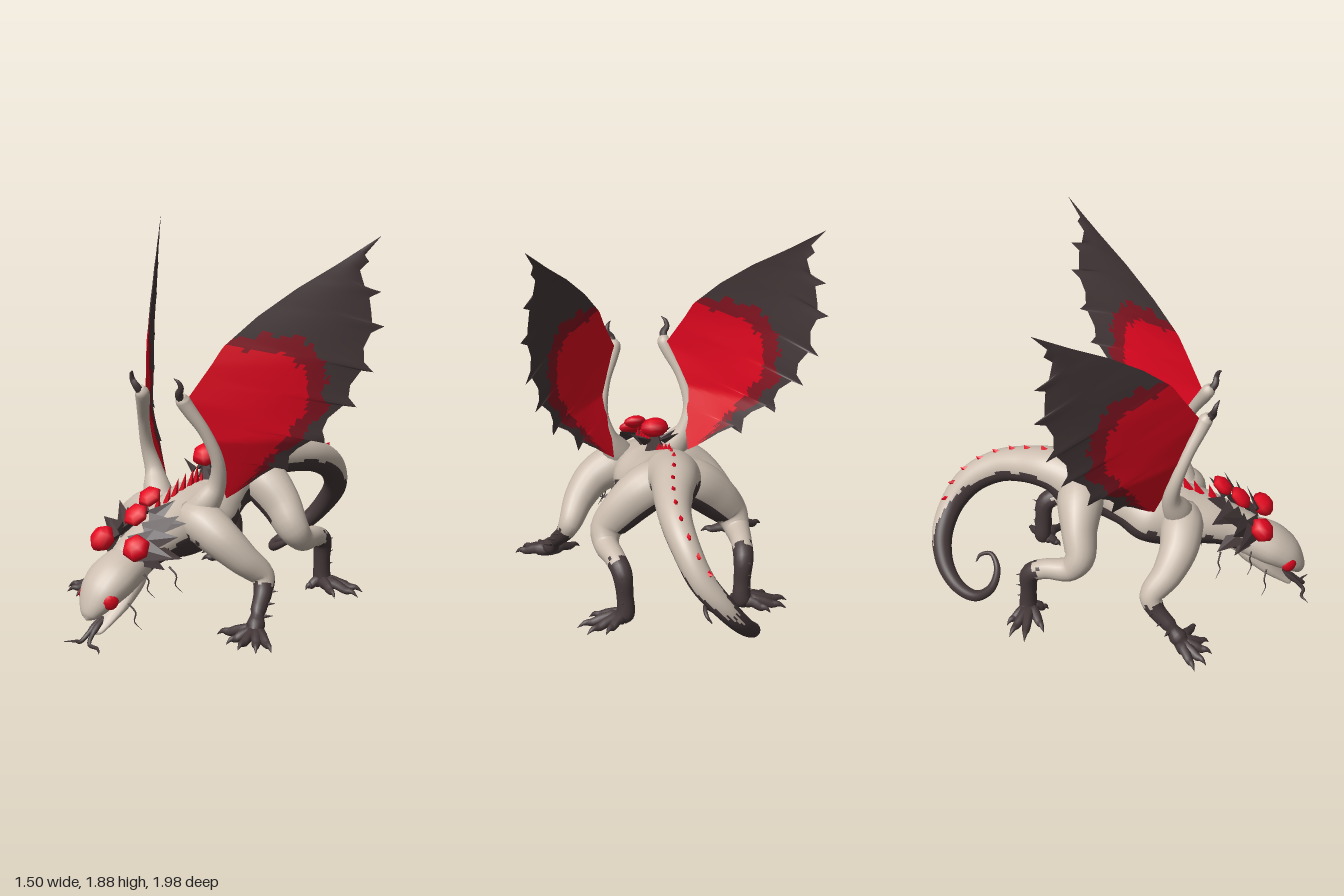
import * as THREE from 'three';
import { mergeGeometries } from 'three/addons/utils/BufferGeometryUtils.js';

const V = (x, y, z) => new THREE.Vector3(x, y, z);

export function createModel() {
  const model = new THREE.Group();
  model.name = 'wingedDragon';
  const mat = (name, color, side = THREE.FrontSide) => {
    const m = new THREE.MeshStandardMaterial({ color, side });
    m.name = name;
    return m;
  };
  const cream = mat('creamHide', 0xcbbdaf);
  const dark = mat('darkHide', 0x46393a, THREE.DoubleSide);
  const red = mat('redGem', 0xe2061f, THREE.DoubleSide);
  const crimson = mat('crimsonMembrane', 0x861522, THREE.DoubleSide);
  const noise = (i, j) => { const s = Math.sin(i * 127.1 + j * 311.7) * 43758.5; return s - Math.floor(s); };

  function add(name, geo, material) {
    const m = new THREE.Mesh(geo, material);
    m.name = name;
    model.add(m);
  }
  // Reflects a geometry across x and restores its winding
  function mirror(geo) {
    const g = geo.index ? geo.toNonIndexed() : geo.clone();
    for (const key of ['position', 'normal']) {
      const a = g.attributes[key].array;
      for (let i = 0; i < a.length; i += 3) a[i] *= -1;
      for (let i = 0; i < a.length; i += 9)
        for (let k = 0; k < 3; k++) [a[i + 3 + k], a[i + 6 + k]] = [a[i + 6 + k], a[i + 3 + k]];
    }
    return g;
  }
  function addPair(name, geo, material) {
    add('left' + name, geo, material);
    add('right' + name, mirror(geo), material);
  }
  // Indexed smooth geometry with one material group per index list
  function surface(pos, sets) {
    const g = new THREE.BufferGeometry();
    g.setAttribute('position', new THREE.Float32BufferAttribute(pos, 3));
    g.setIndex(sets.flat());
    let start = 0;
    sets.forEach((s, m) => { g.addGroup(start, s.length, m); start += s.length; });
    g.computeVertexNormals();
    return g;
  }

  // Smooth skin over stations [x, y, z, halfWidth, halfHeight]; isDark(u, sin, i, j) picks material 1
  function loft(stations, rings = 20, seg = 12, isDark = () => false) {
    const path = new THREE.CatmullRomCurve3(stations.map(s => V(s[0], s[1], s[2])));
    const size = new THREE.CatmullRomCurve3(stations.map(s => V(s[3], s[4] ?? s[3], 0)));
    const pos = [], sets = [[], []];
    const up = V(0, 1, 0);
    for (let i = 0; i <= rings; i++) {
      const t = i / rings, p = path.getPoint(t), d = path.getTangent(t), r = size.getPoint(t);
      up.addScaledVector(d, -up.dot(d)).normalize();
      const side = V(0, 0, 0).crossVectors(up, d);
      for (let j = 0; j < seg; j++) {
        const a = (j / seg) * Math.PI * 2;
        const q = p.clone().addScaledVector(side, Math.cos(a) * Math.max(r.x, 0.001))
          .addScaledVector(up, Math.sin(a) * Math.max(r.y, 0.001));
        pos.push(q.x, q.y, q.z);
        if (i === rings) continue;
        const k = (j + 1) % seg, A = i * seg + j, B = i * seg + k, C = A + seg, D = B + seg;
        const u = ((i + 0.5) / rings) * (stations.length - 1);
        sets[isDark(u, Math.sin(((j + 0.5) / seg) * Math.PI * 2), i, j) ? 1 : 0].push(A, B, C, B, D, C);
      }
    }
    // End caps
    const last = rings * seg, endSet = sets[isDark(stations.length - 1, 0, 0, 0) ? 1 : 0];
    for (let j = 1; j < seg - 1; j++) {
      sets[0].push(0, j + 1, j);
      endSet.push(last, last + j, last + j + 1);
    }
    return surface(pos, sets);
  }
  // Flattened cone from base to tip
  function spike(base, tip, r, flatX = 1, flatZ = 1) {
    const b = V(...base), d = V(...tip).sub(b), len = d.length();
    const g = new THREE.ConeGeometry(r, len, 5).toNonIndexed();
    g.deleteAttribute('uv');
    g.translate(0, len / 2, 0).scale(flatX, 1, flatZ);
    g.applyQuaternion(new THREE.Quaternion().setFromUnitVectors(V(0, 1, 0), d.normalize()));
    g.translate(b.x, b.y, b.z);
    g.computeVertexNormals();
    return g;
  }
  // Rounded stone with a six-sided outline
  const gem = (x, y, z, r, flat, tilt, turn = 0) => new THREE.SphereGeometry(r, 6, 6)
    .scale(1, flat, 1).rotateX(tilt).rotateZ(turn).translate(x, y, z);

  // Neck, trunk and curled tail
  const spine = [
    [0, .3, .74, .06, .06], [0, .36, .66, .105, .1], [0, .41, .56, .12, .105], [0, .45, .44, .15, .13],
    [0, .47, .3, .175, .165], [0, .5, .15, .205, .165], [0, .55, .03, .16, .135], [0, .6, -.1, .12, .14],
    [0, .64, -.22, .145, .15], [.02, .69, -.34, .12, .115], [.07, .68, -.5, .095, .095],
    [.1, .64, -.65, .078, .085], [.09, .55, -.8, .068, .075], [.04, .42, -.9, .062], [-.06, .29, -.94, .054],
    [-.16, .17, -.91, .044], [-.235, .09, -.83, .035], [-.255, .055, -.74, .029], [-.2, .065, -.67, .023],
    [-.1, .12, -.65, .017], [-.04, .17, -.69, .012], [-.03, .15, -.75, .009], [-.05, .12, -.77, .003],
  ];
  add('bodyAndTail', loft(spine, 132, 36, (u, s, i, j) => {
    if (u < 1.3) return false;
    const edge = -.08 + Math.max(0, u - 12) * .45;
    return s < edge + (noise(i >> 1, j) - .5) * .22;
  }), [cream, dark]);

  // Head, jaw, eyes and forked tongue
  add('head', loft([
    [0, .37, .58, .09, .09], [0, .345, .68, .117, .1], [0, .31, .77, .13, .1], [0, .258, .85, .114, .085],
    [0, .2, .905, .078, .055], [0, .162, .935, .042, .03], [0, .147, .948, .004],
  ], 24, 20), cream);
  add('lowerJaw', loft([
    [0, .35, .58, .06, .05], [0, .27, .67, .095, .058], [0, .185, .76, .09, .04], [0, .115, .835, .06, .022],
    [0, .07, .885, .034, .013], [0, .06, .893, .004],
  ], 18, 14), cream);
  const eye = new THREE.SphereGeometry(.041, 12, 8);
  eye.scale(.55, 1, 1).rotateY(-.55).translate(.088, .24, .875);
  addPair('Eye', eye, red);
  addPair('TongueFork', loft([[.005, .14, .82, .012], [.012, .075, .92, .012], [.03, .035, .96, .01],
    [.07, .025, .95, .008], [.12, .02, .985, .001]], 16, 6), dark);

  // Collar of dark leaves around the gems
  const leaves = [];
  for (const [bx, by, bz, tx, ty, tz, r] of [
    [.08, .45, .68, .24, .42, .61, .07], [.09, .48, .64, .25, .52, .58, .07], [.07, .5, .61, .2, .6, .52, .07],
    [.08, .41, .66, .17, .34, .59, .06], [.05, .53, .57, .2, .55, .47, .07], [.04, .56, .53, .1, .64, .44, .055],
    [.1, .42, .6, .2, .38, .5, .06], [.06, .47, .7, .15, .55, .64, .05],
    [.04, .71, .1, .11, .77, .04, .028], [.05, .7, .14, .12, .75, .14, .025],
  ]) leaves.push(spike([bx, by, bz], [tx, ty, tz], r, 1, .25));
  addPair('CollarLeaves', mergeGeometries(leaves), dark);
  addPair('BrowGem', gem(.113, .47, .725, .069, .75, .8, -.3), red);
  add('neckGem', gem(0, .585, .61, .066, .5, .75), red);
  add('napeGem', gem(0, .655, .515, .062, .5, .65), red);
  add('shoulderGem', gem(0, .785, .11, .073, .7, .5), red);
  add('shoulderGemMount', spike([0, .62, .09], [0, .8, .11], .07), dark);

  // Row of red ridge spikes along the back and tail
  const ridge = [];
  const spinePath = new THREE.CatmullRomCurve3(spine.map(s => V(s[0], s[1], s[2])));
  for (let u = 3; u < 13.2; u += u < 6 ? .42 : .5) {
    const k = Math.floor(u), f = u - k, t = u / (spine.length - 1);
    const p = spinePath.getPoint(t), d = spinePath.getTangent(t);
    const n = V(0, 1, 0).addScaledVector(d, -d.y).normalize();
    const h = spine[k][4] * (1 - f) + (spine[k + 1][4] ?? spine[k + 1][3]) * f;
    const tall = u < 5.5 ? .085 : u < 8 ? .045 : .03;
    const base = p.clone().addScaledVector(n, h - .012);
    const tip = base.clone().addScaledVector(n, tall).addScaledVector(d, tall * .5);
    ridge.push(spike(base.toArray(), tip.toArray(), u < 6 ? .028 : .025, u < 6 ? .5 : .65, 1));
  }
  add('backRidge', mergeGeometries(ridge), red);

  // Legs: cream above, dark below with a ragged border, and dark on the inside near the belly
  const leg = (name, stations, start, inner) => addPair(name, loft(stations, 44, 18, (u, s, i, j) => {
    const n = noise(i >> 1, j) - .5;
    return u > start + n * .4 || (u < inner + n && s < -.35 + n * .2);
  }), [cream, dark]);
  leg('FrontLeg', [[.06, .53, .33, .08], [.17, .51, .32, .108], [.28, .45, .31, .098], [.37, .36, .26, .08],
    [.435, .265, .185, .06], [.46, .2, .21, .046], [.49, .13, .28, .038], [.52, .06, .34, .038],
    [.54, .03, .38, .028]], 4.6, 1.2);
  leg('HindLeg', [[.04, .64, -.2, .12, .11], [.13, .595, -.2, .118, .12], [.24, .5, -.195, .092, .11],
    [.325, .395, -.185, .077, .085], [.34, .335, -.235, .064], [.325, .315, -.36, .052], [.31, .27, -.44, .05],
    [.3, .15, -.455, .042], [.3, .06, -.46, .046], [.32, .025, -.46, .03]], 5.4, 2.6);

  // Spread toes ending in claws
  const foot = (name, [px, pz], tips) => addPair(name, mergeGeometries(tips.map(([tx, tz]) => loft([
    [px, .04, pz, .026], [px + (tx - px) * .4, .045, pz + (tz - pz) * .4, .026],
    [px + (tx - px) * .68, .028, pz + (tz - pz) * .68, .021],
    [px + (tx - px) * .84, .03, pz + (tz - pz) * .84, .013], [tx, .008, tz, .001],
  ], 12, 7))), dark);
  foot('FrontToes', [.52, .33], [[.69, .42], [.64, .475], [.55, .5], [.46, .48], [.34, .41]]);
  foot('HindToes', [.3, -.45], [[.54, -.45], [.51, -.53], [.42, -.555], [.46, -.36], [.27, -.36]]);
  const thorns = [];
  for (let i = 0; i < 3; i++) {
    const f = i / 3;
    thorns.push(spike([.48 + .06 * f, .2 - .14 * f, .2 + .12 * f], [.53 + .06 * f, .21 - .14 * f, .18 + .12 * f], .012));
    thorns.push(spike([.31, .26 - .2 * f, -.46], [.33, .27 - .2 * f, -.515], .012));
  }
  addPair('LegThorns', mergeGeometries(thorns), dark);

  // Thin hanging whiskers
  const hairs = [[.1, .34, .68], [.13, .33, .52], [.09, .2, .76]].map(([x, y, z]) => loft([
    [x, y, z, .005], [x + .04, y - .04, z - .01, .004], [x + .04, y - .08, z, .003], [x + .07, y - .12, z - .02, .001],
  ], 10, 5));
  addPair('Whiskers', mergeGeometries(hairs), dark);

  // Wing membrane: bowed sheet between front and scalloped rear edge, outlines in (z, y)
  const outline = pts => new THREE.Path(pts.map(p => new THREE.Vector2(...p)));
  const frontEdge = outline([[.18, .61], [.23, .72], [.275, .85], [.33, .99], [.4, 1.12], [.33, 1.25], [.26, 1.38],
    [.13, 1.52], [-.02, 1.65], [-.17, 1.76], [-.335, 1.89]]);
  const rearEdge = outline([[.18, .61], [.15, .64], [.11, .69], [.08, .73], [.025, .785], [-.015, .755], [0, .83],
    [-.02, .87], [-.07, .92], [-.115, .895], [-.1, .96], [-.12, 1.02], [-.175, 1.08], [-.225, 1.07], [-.195, 1.12],
    [-.2, 1.18], [-.24, 1.25], [-.285, 1.24], [-.25, 1.29], [-.25, 1.36], [-.28, 1.43], [-.33, 1.46], [-.285, 1.48],
    [-.285, 1.52], [-.28, 1.6], [-.325, 1.625], [-.265, 1.65], [-.25, 1.73], [-.285, 1.77], [-.27, 1.8], [-.335, 1.89]]);
  const redZone = [[.5, .55], [.5, 1.36], [.25, 1.37], [.15, 1.35], [.05, 1.33], [0, 1.26], [-.03, 1.14], [0, 1.01],
    [.06, .88], [.12, .74], [.16, .55]];
  const crimsonZone = [[.5, .55], [.5, 1.4], [.24, 1.4], [.17, 1.43], [.09, 1.43], [0, 1.42], [-.07, 1.33], [-.1, 1.2],
    [-.09, 1.06], [-.03, .95], [.05, .82], [.11, .7], [.13, .55]];
  const inside = (zone, x, y) => zone.reduce((hit, [ax, ay], i) => {
    const [bx, by] = zone[(i + 1) % zone.length];
    return (ay > y) !== (by > y) && x < ax + ((y - ay) / (by - ay)) * (bx - ax) ? !hit : hit;
  }, false);
  function membrane() {
    const lengths = rearEdge.getCurveLengths(), total = lengths[lengths.length - 1];
    const us = [0];
    for (const l of lengths) {
      const prev = us[us.length - 1];
      for (let k = 1; k <= 3; k++) us.push(prev + (l / total - prev) * k / 3);
    }
    const cols = 48, row = cols + 1, pos = [], sets = [[], [], []];
    us.forEach((u, i) => {
      const f = frontEdge.getPoint(Math.min(u, 1)), b = rearEdge.getPoint(Math.min(u, 1));
      for (let j = 0; j <= cols; j++) {
        const { x: z, y } = f.clone().lerp(b, j / cols);
        const bow = .025 * Math.sin(Math.PI * j / cols) * Math.sin(Math.PI * Math.min(u, 1));
        const x = .13 + .87 * (.4 - z) - .4 * Math.max(0, .92 - y) - .085 * Math.max(0, y - 1.3) + bow;
        pos.push(x, y, z);
        if (i === us.length - 1 || j === cols) continue;
        const A = i * row + j, C = A + row;
        const jz = z + (noise(i >> 2, j >> 1) - .5) * .03, jy = y + (noise(j >> 1, i >> 2) - .5) * .03;
        const zone = inside(redZone, jz, jy) ? 2 : inside(crimsonZone, jz, jy) ? 1 : 0;
        sets[zone].push(A, C, A + 1, A + 1, C, C + 1);
      }
    });
    return surface(pos, sets);
  }
  addPair('WingMembrane', membrane(), [dark, crimson, red]);

  // Wing arm and hooked thumb
  addPair('WingArm', loft([[.1, .52, .32, .08], [.165, .61, .29, .072], [.21, .7, .265, .046], [.235, .82, .285, .033],
    [.205, .97, .34, .029], [.155, 1.08, .395, .034], [.135, 1.13, .42, .036], [.135, 1.16, .435, .02]], 32, 14), cream);
  addPair('WingThumb', loft([[.135, 1.13, .425, .022], [.14, 1.17, .455, .019], [.16, 1.2, .46, .014],
    [.155, 1.23, .47, .01], [.135, 1.25, .485, .001]], 16, 8), dark);

  return model;
}
